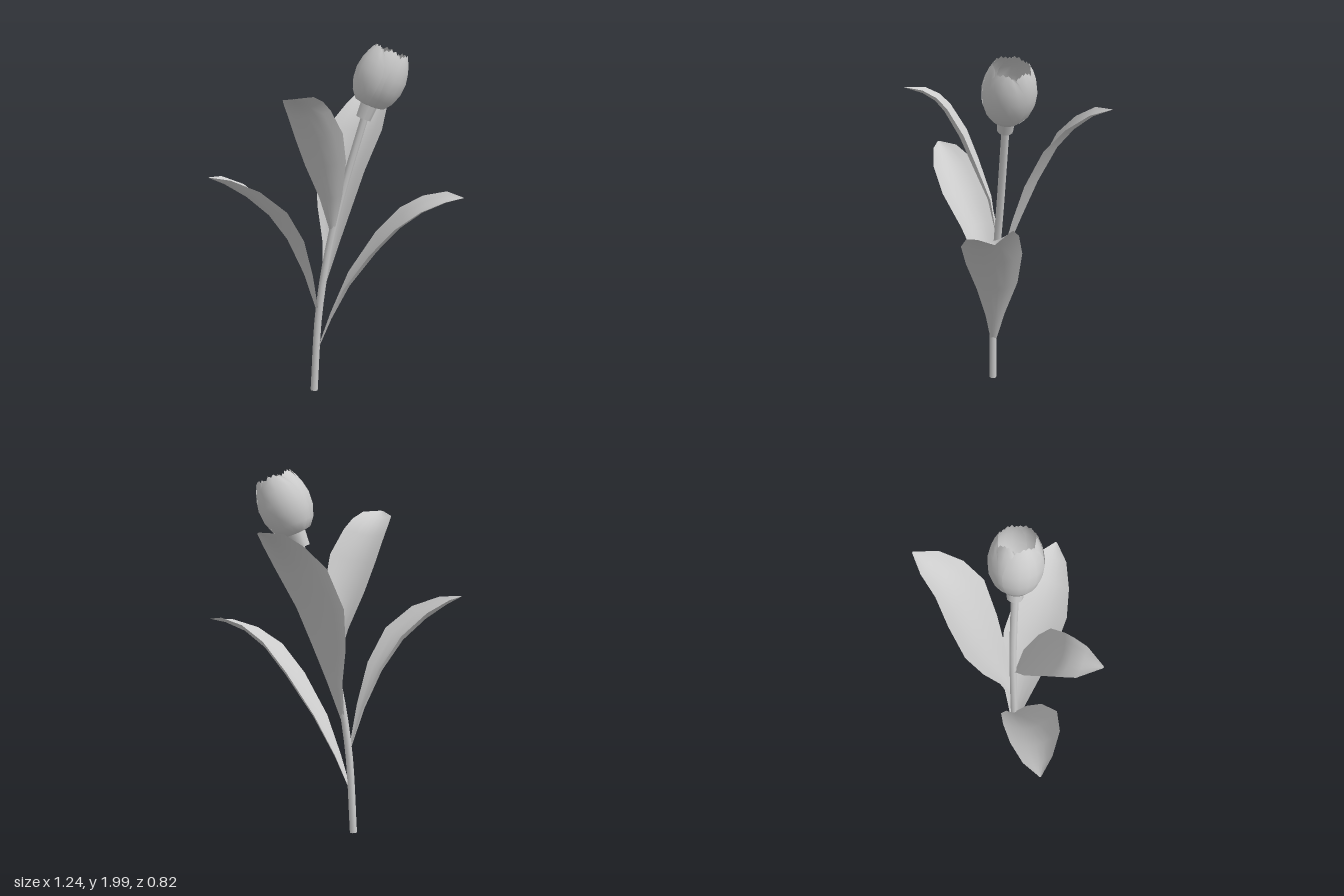
import * as THREE from 'three';

const V = (x, y, z) => new THREE.Vector3(x, y, z);
const leafMaterial = new THREE.MeshStandardMaterial({ color: 0xcccccc, side: THREE.DoubleSide });

// Smooth open sheet from a grid of points: at(row, column) -> Vector3
function sheet(name, rows, cols, at) {
  const positions = [], index = [];
  for (let i = 0; i < rows; i++) {
    for (let j = 0; j < cols; j++) {
      positions.push(...at(i, j).toArray());
      if (i === rows - 1 || j === cols - 1) continue;
      const a = i * cols + j, b = a + cols;
      index.push(a, a + 1, b, a + 1, b + 1, b);
    }
  }
  const geometry = new THREE.BufferGeometry();
  geometry.setAttribute('position', new THREE.Float32BufferAttribute(positions, 3));
  geometry.setIndex(index);
  geometry.computeVertexNormals();
  const mesh = new THREE.Mesh(geometry, leafMaterial);
  mesh.name = name;
  return mesh;
}

// Arching leaf: spine stations [x, y, z, half width], spread along a side direction, rib sunk into a channel
function leaf(name, side, sag, stations) {
  const across = V(...side).normalize();
  const spine = stations.map(([x, y, z]) => V(x, y, z));
  const last = spine.length - 1, cols = 7;
  return sheet(name, spine.length, cols, (i, j) => {
    const u = (j / (cols - 1)) * 2 - 1, half = stations[i][3];
    const tangent = spine[Math.min(i + 1, last)].clone().sub(spine[Math.max(i - 1, 0)]);
    const down = tangent.cross(across).normalize();
    if (down.y > 0) down.negate();
    return spine[i].clone().addScaledVector(across, u * half).addScaledVector(down, sag * half * (1 - u * u));
  });
}

// Cup-shaped petal on the flower's own y axis, with a slightly ragged tip
const cup = new THREE.CatmullRomCurve3([
  V(0.045, 0, 0), V(0.09, 0.012, 0), V(0.127, 0.07, 0), V(0.146, 0.15, 0),
  V(0.138, 0.225, 0), V(0.118, 0.285, 0), V(0.095, 0.325, 0),
]);
function petal(name, angle, scale, spread) {
  const rows = 8, cols = 7;
  return sheet(name, rows, cols, (i, j) => {
    const t = i / (rows - 1), u = (j / (cols - 1)) * 2 - 1;
    const width = spread * (t < 0.5 ? 0.8 + 0.4 * t : 1 - 2.1 * (t - 0.5) ** 2);
    const p = cup.getPoint(t * (1 - 0.06 * u * u * t));
    const a = angle + u * width, r = p.x * scale * (1 - 0.03 * u * u);
    const ragged = i === rows - 1 ? 0.006 * (-1) ** j : 0;
    return V(Math.sin(a) * r, p.y + ragged, Math.cos(a) * r);
  });
}

export function createModel() {
  const model = new THREE.Group();
  model.name = 'flowerPlant';
  const solid = new THREE.MeshStandardMaterial({ color: 0xcccccc });

  // Stem leaning toward the flower, closed at the foot
  const path = new THREE.CatmullRomCurve3([
    V(-0.02, 0, -0.178), V(0, 0.45, -0.16), V(0.045, 0.8, -0.135),
    V(0.115, 1.15, -0.095), V(0.232, 1.64, -0.014),
  ]);
  const stem = new THREE.Mesh(new THREE.TubeGeometry(path, 16, 0.021, 8), solid);
  stem.name = 'stem';
  const foot = new THREE.Mesh(new THREE.CircleGeometry(0.021, 8), solid);
  foot.name = 'stemFoot';
  foot.rotation.x = Math.PI / 2;
  foot.position.set(-0.02, 0.001, -0.178);
  model.add(stem, foot);

  // Flower head: collar and two rings of three overlapping petals
  const flower = new THREE.Group();
  flower.name = 'flowerHead';
  const collar = new THREE.Mesh(new THREE.CylinderGeometry(0.05, 0.043, 0.085, 10), solid);
  collar.name = 'collar';
  collar.position.y = -0.036;
  flower.add(collar);
  for (let k = 0; k < 3; k++) {
    const a = 0.5 + (k * Math.PI * 2) / 3;
    flower.add(petal('outerPetal', a, 1.0, 0.98));
    flower.add(petal('innerPetal', a + Math.PI / 3, 0.95, 0.85));
  }
  flower.position.set(0.238, 1.655, -0.01);
  flower.quaternion.setFromUnitVectors(V(0, 1, 0), V(0.34, 1, 0.23).normalize());
  model.add(flower);

  // Four leaves climbing the stem
  model.add(
    leaf('frontLeftLeaf', [0.68, 0.2, -0.7], 0.28, [
      [-0.01, 0.23, -0.17, 0.012], [0.05, 0.44, -0.125, 0.055], [0.125, 0.66, -0.065, 0.115],
      [0.22, 0.885, 0.055, 0.155], [0.305, 1.04, 0.17, 0.155], [0.4, 1.125, 0.265, 0.122],
      [0.505, 1.165, 0.345, 0.08], [0.58, 1.16, 0.405, 0.004],
    ]),
    leaf('backRightLeaf', [0.22, 0, -0.97], 0.42, [
      [0, 0.47, -0.165, 0.012], [-0.06, 0.71, -0.17, 0.06], [-0.14, 0.93, -0.175, 0.115],
      [-0.26, 1.11, -0.18, 0.148], [-0.4, 1.23, -0.22, 0.133], [-0.53, 1.29, -0.27, 0.078],
      [-0.62, 1.3, -0.3, 0.004],
    ]),
    leaf('backLeftLeaf', [0.5, -0.05, 0.86], 0.28, [
      [0.035, 0.65, -0.148, 0.012], [0.09, 0.86, -0.165, 0.05], [0.14, 1.06, -0.2, 0.105],
      [0.21, 1.28, -0.233, 0.15], [0.33, 1.5, -0.25, 0.163], [0.44, 1.62, -0.285, 0.125],
      [0.535, 1.69, -0.345, 0.08], [0.62, 1.705, -0.4, 0.004],
    ]),
    leaf('frontRightLeaf', [0.68, 0.12, 0.72], 0.28, [
      [0.065, 0.94, -0.115, 0.012], [0.04, 1.15, -0.095, 0.065], [-0.025, 1.35, -0.055, 0.115],
      [-0.09, 1.51, -0.025, 0.132], [-0.18, 1.645, 0.012, 0.118], [-0.235, 1.7, 0.04, 0.105],
      [-0.3, 1.735, 0.085, 0.083], [-0.375, 1.745, 0.165, 0.004],
    ]),
  );
  return model;
}
